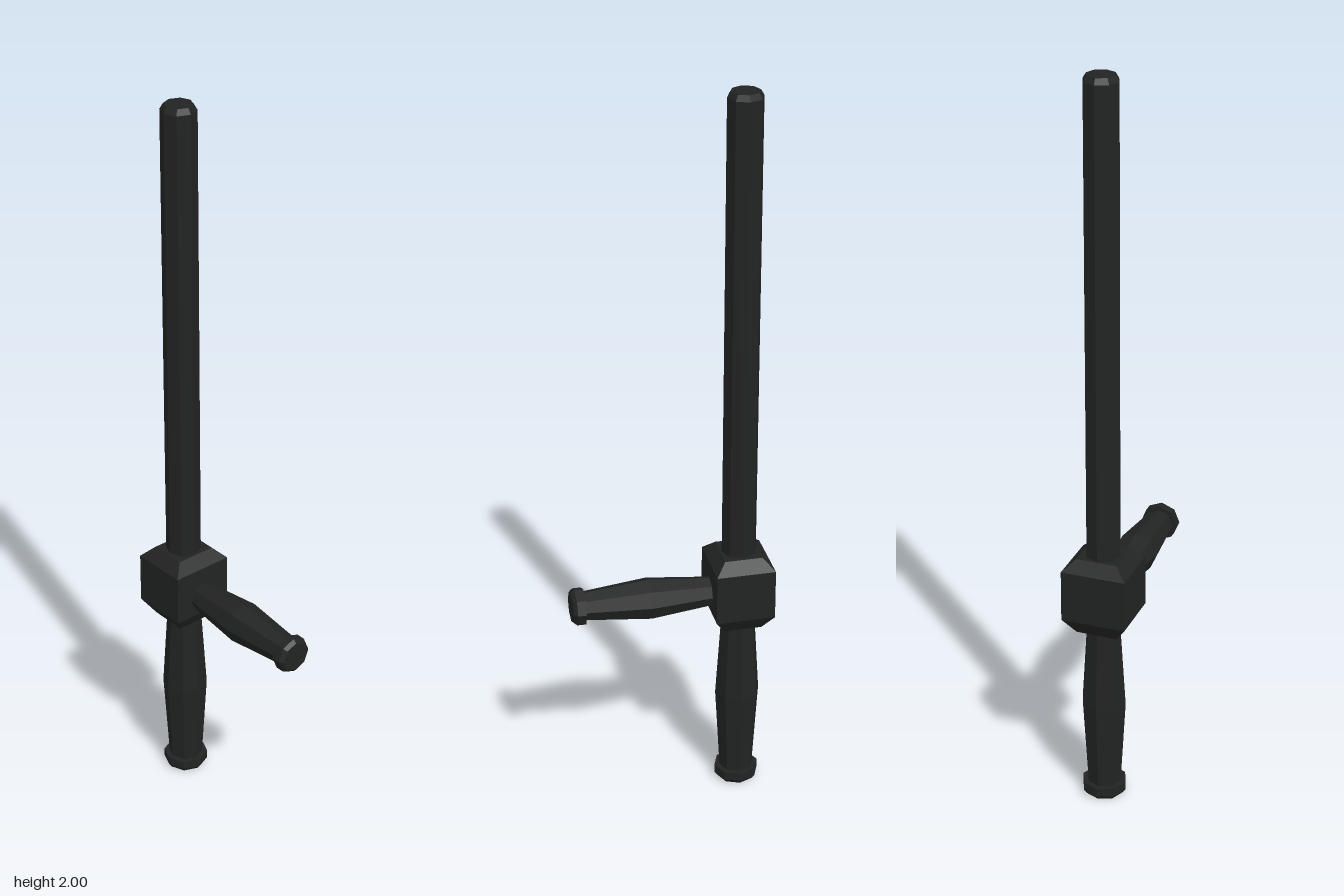
import * as THREE from 'three';

const black = new THREE.MeshStandardMaterial({ color: 0x222323, flatShading: true });
black.name = 'black rubber';

// Faceted turned part from [radius, height] pairs, bottom to top
function turned(name, profile, sides = 8, start = 0) {
  const points = profile.map(([r, y]) => new THREE.Vector2(r, y));
  const mesh = new THREE.Mesh(new THREE.LatheGeometry(points, sides, start), black);
  mesh.name = name;
  return mesh;
}

export function createModel() {
  const group = new THREE.Group();
  group.name = 'sideHandleBaton';
  const axisZ = -0.19;

  // Long shaft with a small bevel at the tip
  const shaft = turned('shaft', [[0.047, 0.7], [0.047, 1.985], [0.038, 2], [0, 2]]);

  // Lower grip swelling at the middle, with a bevelled pommel
  const grip = turned('grip', [[0.046, 0.03], [0.061, 0.28], [0.046, 0.52]]);
  const pommel = turned('pommel', [[0, 0], [0.052, 0], [0.061, 0.012], [0.061, 0.036], [0, 0.036]]);

  // Square joint block, chamfered above and below
  const s = Math.SQRT2;
  const block = turned('jointBlock',
    [[0, 0.505], [0.64 * s, 0.505], [s, 0.55], [s, 0.69], [0.64 * s, 0.72], [0, 0.72]], 4, Math.PI / 4);
  block.scale.set(0.087, 1, 0.08);

  for (const part of [shaft, grip, pommel, block]) {
    part.position.z = axisZ;
    group.add(part);
  }

  // Side handle pointing forward, with its end cap
  const sideHandle = new THREE.Group();
  sideHandle.name = 'sideHandle';
  sideHandle.add(
    turned('sideGrip', [[0.039, -0.12], [0.057, 0.057], [0.039, 0.24]]),
    turned('sideCap', [[0, 0.234], [0.051, 0.234], [0.051, 0.258], [0.042, 0.268], [0, 0.268]])
  );
  sideHandle.rotation.x = Math.PI / 2;
  sideHandle.position.y = 0.603;
  group.add(sideHandle);

  return group;
}
